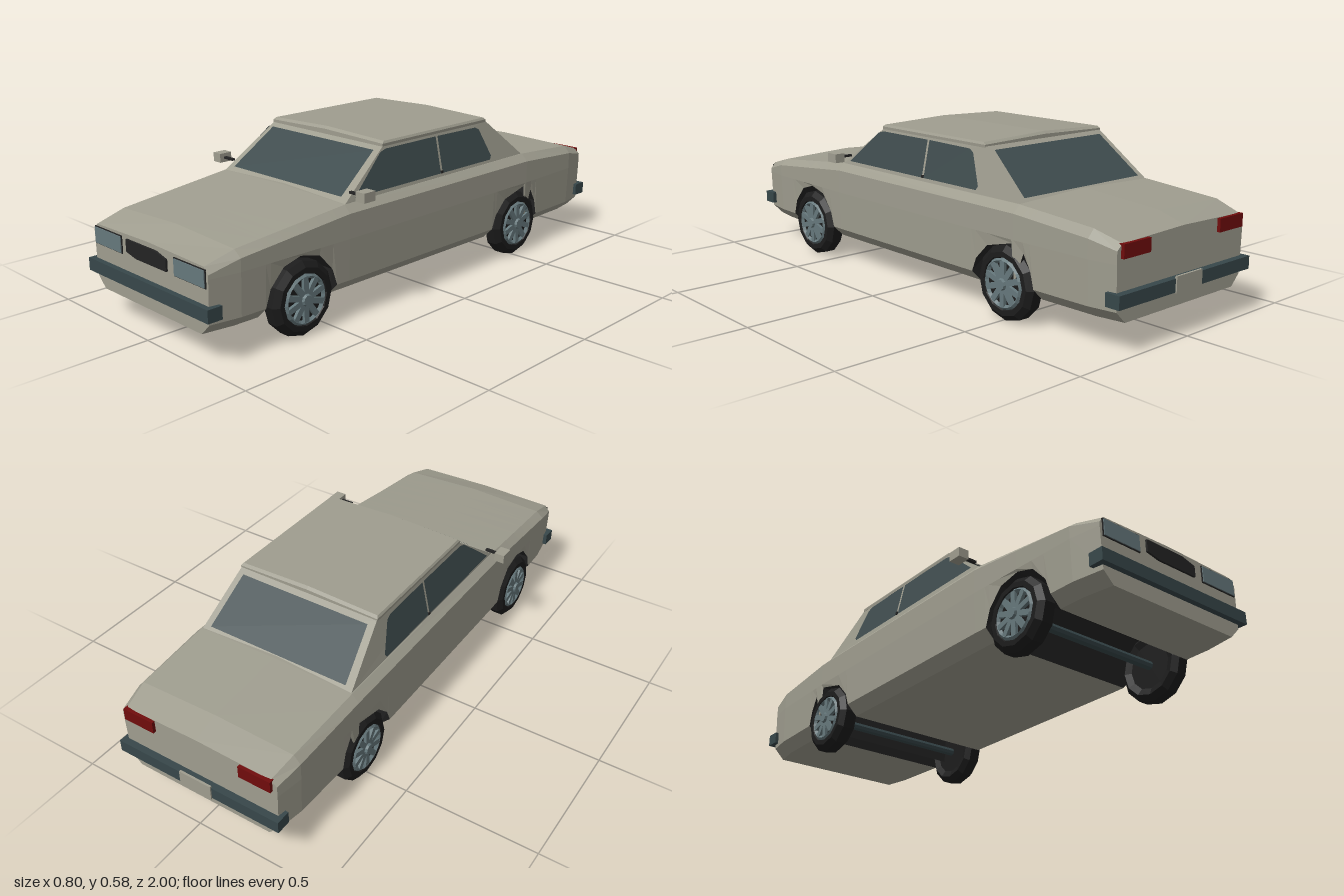
import * as THREE from 'three';

const mat = (name, color, side = THREE.FrontSide) =>
  Object.assign(new THREE.MeshStandardMaterial({ color, side }), { name });
const paint = mat('body paint', 0x9f9d8f);
const glass = mat('window glass', 0x3f4c4e, THREE.DoubleSide);
const trim = mat('bumper trim', 0x37474a);
const steel = mat('lamp and rim grey', 0x66787c);
const rubber = mat('tyre rubber', 0x1c1c1c);
const dark = mat('dark plastic', 0x242424);
const red = mat('tail lamp red', 0x700c0c);

// Faceted mesh from any geometry or flat list of points
function facet(geo) {
  const g = geo.index ? geo.toNonIndexed() : geo;
  g.computeVertexNormals();
  return g;
}
const fromPoints = (pts) =>
  facet(new THREE.BufferGeometry().setFromPoints(pts.map((p) => new THREE.Vector3(...p))));

function add(parent, name, geo, material, x = 0, y = 0, z = 0) {
  const m = new THREE.Mesh(geo, material);
  m.name = name;
  m.position.set(x, y, z);
  parent.add(m);
  return m;
}
const box = (parent, name, material, sx, sy, sz, x, y, z) =>
  add(parent, name, new THREE.BoxGeometry(sx, sy, sz), material, x, y, z);

// Skin closed rings of points and cap both ends; pick(i, j) selects the quads
function loft(rings, caps = true, pick = () => true) {
  const out = [];
  const n = rings[0].length;
  for (let i = 0; i < rings.length - 1; i++) {
    for (let j = 0; j < n; j++) {
      if (!pick(i, j)) continue;
      const k = (j + 1) % n;
      const [a, b, c, d] = [rings[i][j], rings[i][k], rings[i + 1][k], rings[i + 1][j]];
      out.push(a, b, c, a, c, d);
    }
  }
  if (caps) {
    const f = rings[0], e = rings[rings.length - 1];
    for (let j = 1; j < n - 1; j++) out.push(f[0], f[j + 1], f[j], e[0], e[j], e[j + 1]);
  }
  return fromPoints(out);
}

// Flat pane from a convex outline
function pane(parent, name, pts, material) {
  const out = [];
  for (let j = 1; j < pts.length - 1; j++) out.push(pts[0], pts[j], pts[j + 1]);
  return add(parent, name, fromPoints(out), material);
}

// Body shape along z: z, half width, bonnet edge x, centre y, edge y, shoulder y
const KEYS = [
  [0.98, 0.315, 0.295, 0.332, 0.325, 0.302],
  [0.87, 0.333, 0.303, 0.368, 0.355, 0.332],
  [0.42, 0.345, 0.32, 0.41, 0.402, 0.375],
  [-0.56, 0.345, 0.318, 0.41, 0.402, 0.375],
  [-0.87, 0.335, 0.31, 0.388, 0.38, 0.352],
  [-0.97, 0.318, 0.295, 0.358, 0.35, 0.33],
];
// Wheel arch outlines: z, y
const ARCHES = [
  [[0.775, 0.1], [0.755, 0.2], [0.7, 0.26], [0.63, 0.28], [0.55, 0.262], [0.495, 0.2], [0.475, 0.1]],
  [[-0.355, 0.1], [-0.375, 0.19], [-0.43, 0.245], [-0.55, 0.275], [-0.6, 0.25], [-0.63, 0.2], [-0.645, 0.1]],
];

function bodyRing(z, floor) {
  let i = 0;
  while (i < KEYS.length - 2 && z < KEYS[i + 1][0]) i++;
  const t = (z - KEYS[i][0]) / (KEYS[i + 1][0] - KEYS[i][0]);
  const [, w, ex, yc, ye, ys] = KEYS[i].map((v, k) => v + (KEYS[i + 1][k] - v) * t);
  const half = [
    [ex, ye, z], [w, ys, z], [w, 0.288, z],
    [w - 0.005, Math.max(0.14, floor), z], [w - 0.045, Math.max(0.1, floor), z],
  ];
  const mirror = half.map(([x, y, q]) => [-x, y, q]).reverse();
  return [[0, yc, z], ...half, [0, Math.max(0.1, floor), z], ...mirror];
}

function buildBody(car) {
  const stations = [...KEYS.map((k) => [k[0], 0.1]), ...ARCHES.flat()].sort((a, b) => b[0] - a[0]);
  const rings = stations.map(([z, y]) => bodyRing(z, y));
  const isWell = (i, j) =>
    (stations[i][1] > 0.1 || stations[i + 1][1] > 0.1) && j >= 4 && j <= 7;
  add(car, 'body', loft(rings, true, (i, j) => !isWell(i, j)), paint);
  add(car, 'wheelWells', loft(rings, false, isWell), dark);
}

function buildCabin(car) {
  const quad = (x, y, zb, zf, xb = x) => [[-xb, y, zb], [xb, y, zb], [x, y, zf], [-x, y, zf]];
  add(car, 'cabin', loft([quad(0.285, 0.56, -0.36, 0.2), quad(0.32, 0.4, -0.56, 0.42, 0.315)]), paint);

  // Roof with a slight crown
  const roofRing = (x, y, yc, zb, zf) =>
    [[0, yc, zb], [x, y, zb], [x, y, zf], [0, yc, zf], [-x, y, zf], [-x, y, zb]];
  add(car, 'roof', loft([
    roofRing(0.282, 0.574, 0.583, -0.35, 0.195),
    roofRing(0.287, 0.566, 0.574, -0.36, 0.206),
    roofRing(0.286, 0.556, 0.556, -0.36, 0.206),
  ]), paint);

  // Windscreen and rear window lie on the sloping cabin faces
  const screen = (x, y) => [x, y, 0.427 - ((y - 0.4) * 0.22) / 0.16];
  pane(car, 'windscreen',
    [screen(-0.285, 0.418), screen(0.285, 0.418), screen(0.265, 0.545), screen(-0.265, 0.545)], glass);
  const back = (x, y) => [x, y, -0.567 + ((y - 0.4) * 0.2) / 0.16];
  pane(car, 'rearWindow',
    [back(0.285, 0.415), back(-0.285, 0.415), back(-0.262, 0.549), back(0.262, 0.549)], glass);

  // Side windows
  const outlines = {
    frontSideWindow: [[0.375, 0.416], [0.35, 0.437], [0.225, 0.541], [0.195, 0.549], [-0.065, 0.549], [-0.065, 0.416]],
    rearSideWindow: [[-0.075, 0.416], [-0.075, 0.549], [-0.29, 0.546], [-0.31, 0.536], [-0.36, 0.43], [-0.352, 0.416]],
  };
  for (const s of [1, -1]) {
    for (const [name, pts] of Object.entries(outlines)) {
      pane(car, name, pts.map(([z, y]) => [s * (0.325 - ((y - 0.4) * 0.035) / 0.16), y, z]), glass);
    }
    box(car, 'doorPillar', dark, 0.004, 0.01, 0.01, s * 0.322, 0.421, -0.07);
  }
}

function buildWheel(car, side, z) {
  const wheel = new THREE.Group();
  wheel.name = 'wheel';
  const profile = [[0, -0.028], [0.085, -0.028], [0.11, -0.0375], [0.13, -0.02], [0.13, 0.02],
    [0.11, 0.0375], [0.092, 0.0375], [0.086, 0.028], [0, 0.028]].map((p) => new THREE.Vector2(...p));
  add(wheel, 'tyre', facet(new THREE.LatheGeometry(profile, 12).rotateZ(-Math.PI / 2)), rubber);
  add(wheel, 'rimRing', facet(new THREE.TorusGeometry(0.08, 0.009, 4, 20).rotateY(Math.PI / 2)), steel, 0.032);
  add(wheel, 'hub', facet(new THREE.CylinderGeometry(0.018, 0.026, 0.022, 10).rotateZ(-Math.PI / 2)), steel, 0.038);
  for (let i = 0; i < 10; i++) {
    const a = (i / 10) * Math.PI * 2;
    const spoke = box(wheel, 'spoke', steel, 0.012, 0.062, 0.02, 0.034, Math.cos(a) * 0.048, Math.sin(a) * 0.048);
    spoke.rotation.x = a;
  }
  wheel.position.set(side * 0.308, 0.13, z);
  if (side < 0) wheel.rotation.y = Math.PI;
  car.add(wheel);
}

export function createModel() {
  const car = new THREE.Group();
  car.name = 'car';
  buildBody(car);
  buildCabin(car);

  // Wheels and axles
  for (const z of [0.62, -0.51]) {
    for (const s of [1, -1]) buildWheel(car, s, z);
    add(car, 'axle', facet(new THREE.CylinderGeometry(0.016, 0.016, 0.57, 8).rotateZ(Math.PI / 2)), trim, 0, 0.13, z);
  }

  // Bumpers and rear plate
  box(car, 'frontBumper', trim, 0.664, 0.045, 0.055, 0, 0.179, 0.9725);
  box(car, 'rearBumper', trim, 0.664, 0.045, 0.055, 0, 0.179, -0.9675);
  box(car, 'rearPlate', paint, 0.13, 0.055, 0.008, 0, 0.182, -0.996);

  // Lamps
  for (const s of [1, -1]) {
    box(car, 'headlamp', steel, 0.154, 0.056, 0.009, s * 0.225, 0.287, 0.982);
    box(car, 'headlampFrame', dark, 0.16, 0.062, 0.005, s * 0.225, 0.287, 0.981);
    box(car, 'tailLamp', red, 0.125, 0.046, 0.02, s * 0.238, 0.328, -0.972);
  }

  // Grille
  const grille = new THREE.Shape([[-0.115, 0.272], [-0.06, 0.26], [0.107, 0.26], [0.107, 0.3], [0.05, 0.315], [-0.115, 0.315]]
    .map((p) => new THREE.Vector2(...p)));
  add(car, 'grille', new THREE.ExtrudeGeometry(grille, { depth: 0.009, bevelEnabled: false }), dark, 0, 0, 0.978);

  // Door mirrors
  for (const s of [1, -1]) {
    box(car, 'mirrorArm', dark, 0.055, 0.008, 0.012, s * 0.338, 0.436, 0.385);
    box(car, 'mirror', paint, 0.04, 0.034, 0.052, s * 0.38, 0.436, 0.383);
  }
  return car;
}
